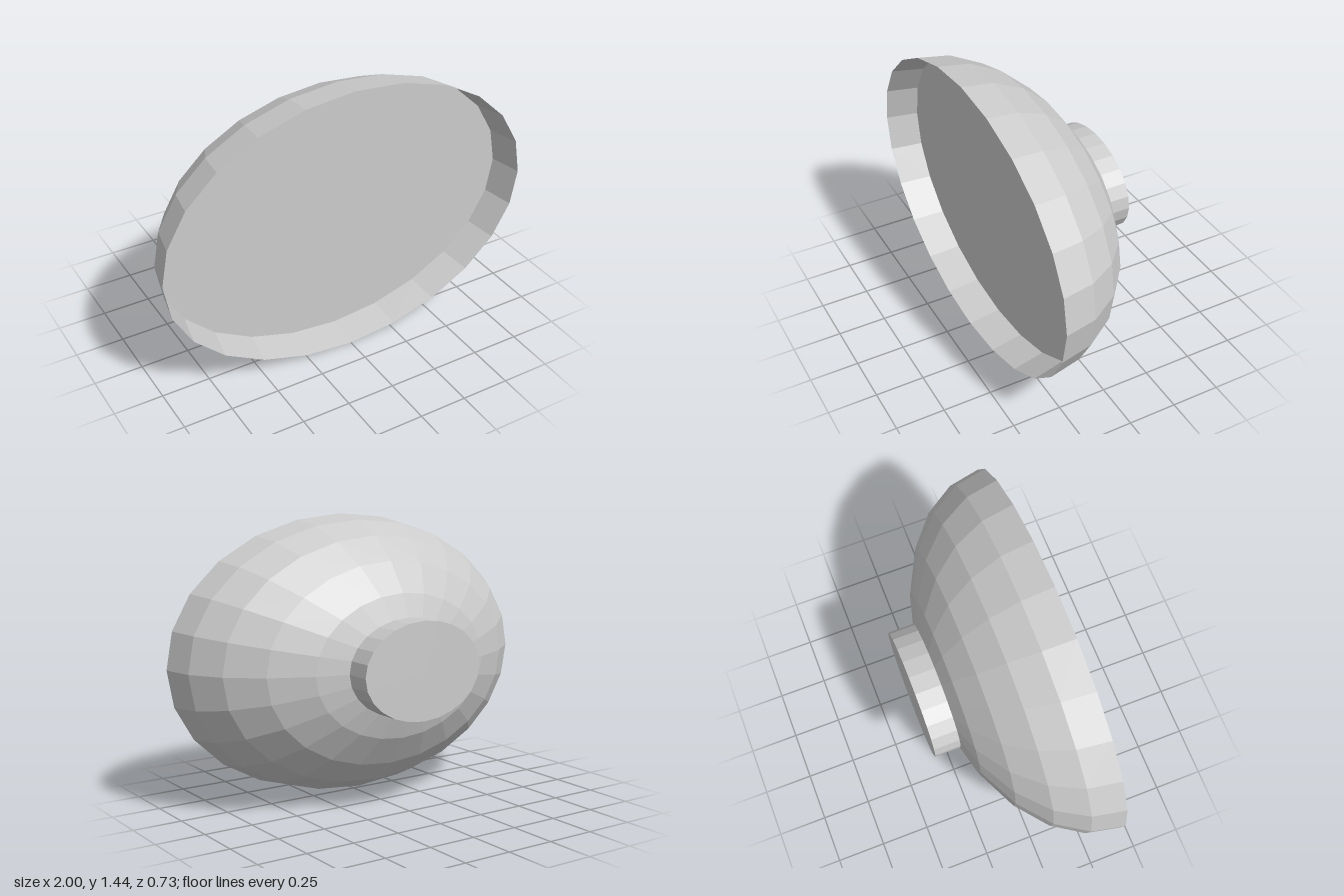
import * as THREE from 'three';

const SIDES = 24;
const HEIGHT_RATIO = 0.722; // oval: height over width
const RIM_Z = 0.365;
const DEPTH = 0.64;

export function createModel() {
  const model = new THREE.Group();
  const material = new THREE.MeshStandardMaterial({
    color: 0xcccccc, flatShading: true, side: THREE.DoubleSide,
  });

  // Every part is round about z, squashed into an oval and lifted onto the ground
  const addPart = (name, geometry) => {
    geometry.scale(1, HEIGHT_RATIO, 1);
    geometry.translate(0, HEIGHT_RATIO, 0);
    const mesh = new THREE.Mesh(geometry, material);
    mesh.name = name;
    model.add(mesh);
  };

  // Ring of the domed shell, a multiple of 15 degrees back from the rim
  const ring = (i) => {
    const a = (i * Math.PI) / 12;
    return new THREE.Vector2(Math.cos(a), RIM_Z - DEPTH * Math.sin(a));
  };

  // Domed shell, open at the front
  const profile = [5, 4, 3, 2, 1, 0].map(ring);
  addPart('shell', new THREE.LatheGeometry(profile, SIDES).rotateX(Math.PI / 2));

  // Flat face set one ring behind the rim
  const face = ring(1);
  addPart('facePanel', new THREE.CircleGeometry(face.x, SIDES).translate(0, 0, face.y));

  // Short mounting collar at the back, sunk slightly into the shell
  const back = -RIM_Z, front = -0.22;
  addPart('mountCollar', new THREE.CylinderGeometry(0.34, 0.34, front - back, SIDES)
    .rotateX(Math.PI / 2).translate(0, 0, (front + back) / 2));

  return model;
}
